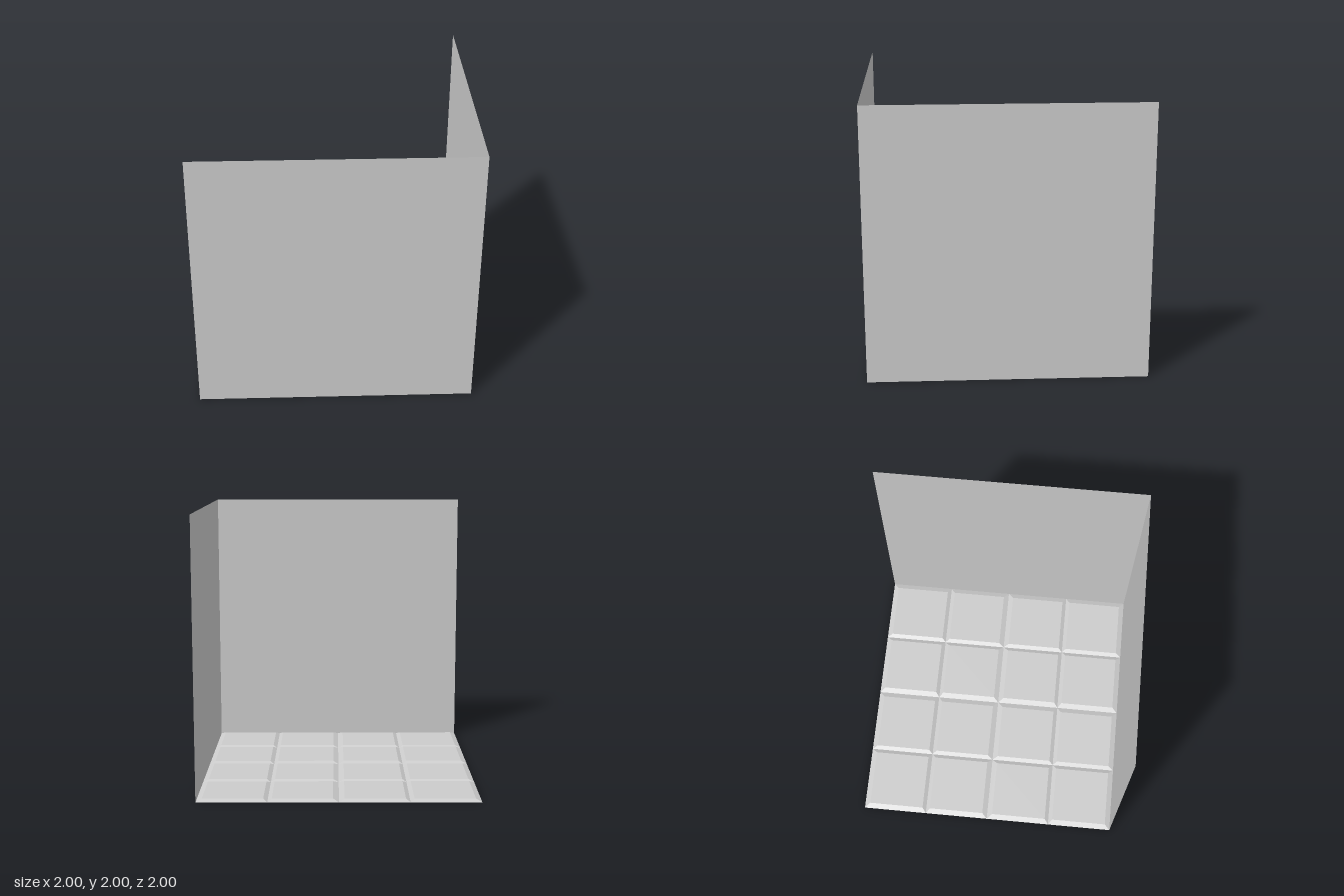
import * as THREE from 'three';

const DEPTH = 0.016; // groove depth
const LINES = [0, 0.04, 0.47, 0.5, 0.53, 0.96, 1]; // grid lines across one slab
const LEVEL = [0, 1, 1, 0, 1, 1, 0]; // raised (1) or groove (0) on each line

// One square slab: bevelled rim and a cross-shaped groove, as a thin sheet
function slabGeometry() {
  const positions = [];
  const corner = (i, j) => [LINES[i], DEPTH * Math.min(LEVEL[i], LEVEL[j]), LINES[j]];
  for (let i = 0; i < LINES.length - 1; i++) {
    for (let j = 0; j < LINES.length - 1; j++) {
      const a = corner(i, j), b = corner(i, j + 1);
      const c = corner(i + 1, j + 1), d = corner(i + 1, j);
      // the split follows the mitre at each bevel corner
      const tris = a[1] !== c[1] ? [a, b, c, a, c, d] : [a, b, d, b, c, d];
      tris.forEach((p) => positions.push(...p));
    }
  }
  const geometry = new THREE.BufferGeometry();
  geometry.setAttribute('position', new THREE.Float32BufferAttribute(positions, 3));
  geometry.computeVertexNormals();
  return geometry;
}

export function createModel() {
  const model = new THREE.Group();
  model.name = 'roomCorner';
  const material = new THREE.MeshStandardMaterial({ color: 0xcccccc, side: THREE.DoubleSide });

  // Floor: two by two slabs
  const floor = new THREE.Group();
  floor.name = 'tiledFloor';
  const slab = slabGeometry();
  for (const x of [-1, 0]) {
    for (const z of [-1, 0]) {
      const mesh = new THREE.Mesh(slab, material);
      mesh.name = 'floorSlab';
      mesh.position.set(x, 0, z);
      floor.add(mesh);
    }
  }
  model.add(floor);

  // Two thin walls meeting at the front left corner
  const wall = new THREE.PlaneGeometry(2, 2);
  const frontWall = new THREE.Mesh(wall, material);
  frontWall.name = 'frontWall';
  frontWall.position.set(0, 1, 1);
  const sideWall = new THREE.Mesh(wall, material);
  sideWall.name = 'sideWall';
  sideWall.position.set(1, 1, 0);
  sideWall.rotation.y = Math.PI / 2;
  model.add(frontWall, sideWall);

  return model;
}
